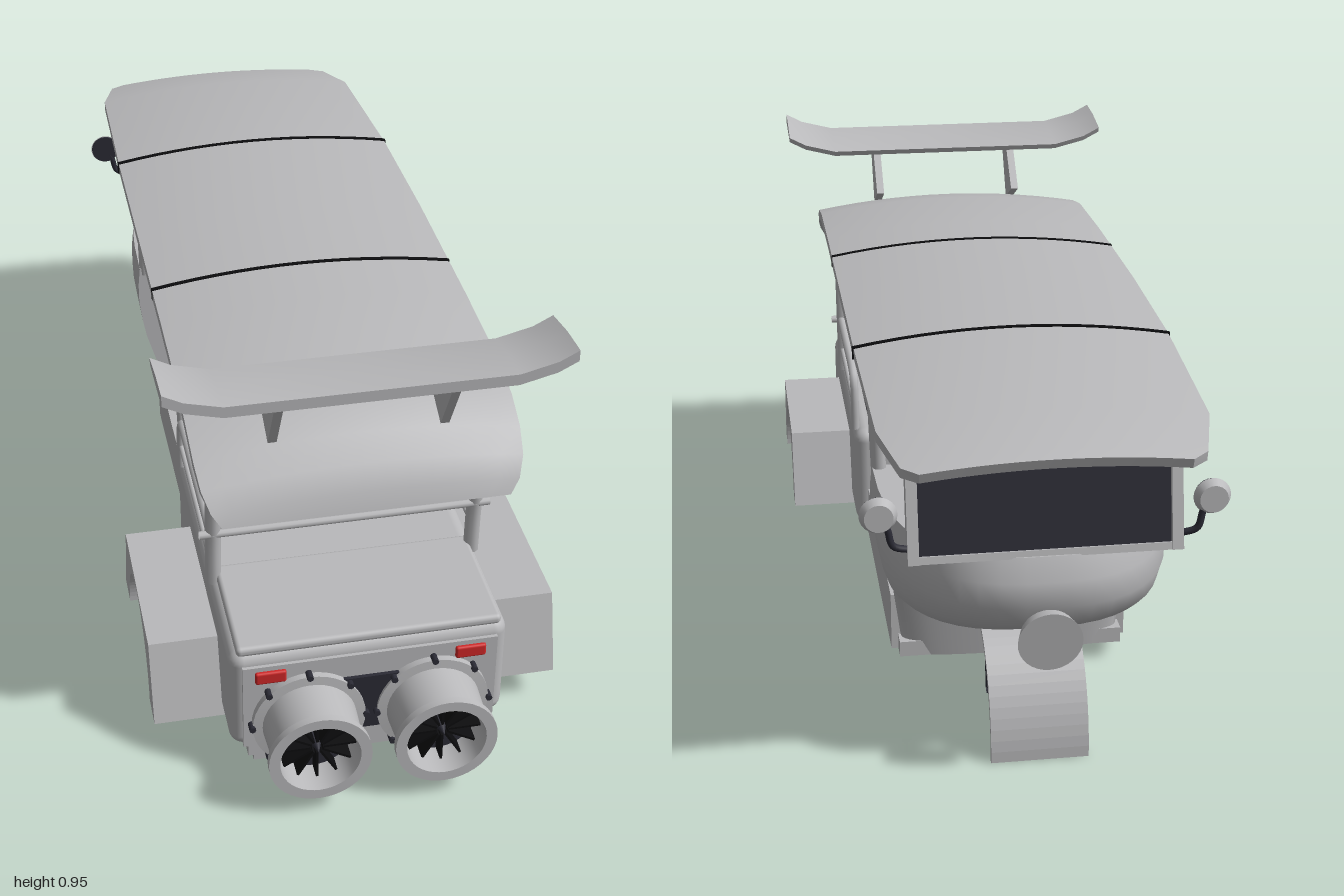
import * as THREE from 'three';
import { toCreasedNormals } from 'three/addons/utils/BufferGeometryUtils.js';
import { RoundedBoxGeometry } from 'three/addons/geometries/RoundedBoxGeometry.js';

const mat = (name, color, side = THREE.DoubleSide) => {
  const m = new THREE.MeshStandardMaterial({ color, side });
  m.name = name;
  return m;
};

// Skin closed rings of equal length and cap both ends
function loft(rings, crease = 0.6) {
  const n = rings[0].length, pos = rings.flat(2), idx = [];
  for (let i = 0; i < rings.length - 1; i++) {
    for (let j = 0; j < n; j++) {
      const a = i * n + j, b = i * n + (j + 1) % n;
      idx.push(a, a + n, b, b, a + n, b + n);
    }
  }
  // caps pair opposite points of the ring
  const cap = (o, flip) => {
    for (let j = 0; j < n / 2 - 1; j++) {
      const a = o + j, b = o + j + 1, c = o + n - 2 - j, d = o + n - 1 - j;
      if (flip) idx.push(a, c, b, a, d, c);
      else idx.push(a, b, c, a, c, d);
    }
  };
  cap(0, false);
  cap((rings.length - 1) * n, true);
  const g = new THREE.BufferGeometry();
  g.setAttribute('position', new THREE.Float32BufferAttribute(pos, 3));
  g.setIndex(idx);
  return toCreasedNormals(g, crease);
}

export function createModel() {
  const root = new THREE.Group();
  root.name = 'jetRickshaw';
  const grey = mat('greyPaint', 0xb9b9bb), dark = mat('darkTrim', 0x2b2b35);
  const black = mat('blackSeam', 0x0c0c0e), red = mat('redLamp', 0xd02828);

  const add = (name, geo, m = grey, x = 0, y = 0, z = 0) => {
    const mesh = new THREE.Mesh(geo, m);
    mesh.name = name;
    mesh.position.set(x, y, z);
    root.add(mesh);
    return mesh;
  };
  // Box given by its min and max on each axis
  const box = (name, [x0, x1], [y0, y1], [z0, z1], m = grey, r = 0) => add(name,
    r ? new RoundedBoxGeometry(x1 - x0, y1 - y0, z1 - z0, 3, r)
      : new THREE.BoxGeometry(x1 - x0, y1 - y0, z1 - z0),
    m, (x0 + x1) / 2, (y0 + y1) / 2, (z0 + z1) / 2);
  const tube = (name, pts, r, m = grey) => add(name, new THREE.TubeGeometry(
    new THREE.CatmullRomCurve3(pts.map(p => new THREE.Vector3(...p)), false, 'centripetal'), 16, r, 10), m);
  // Side outline in (z, y), extruded across x
  const sidePlate = (name, shape, x0, x1) => {
    const g = new THREE.ExtrudeGeometry(shape, { depth: x1 - x0, bevelEnabled: false, curveSegments: 20 });
    g.rotateY(-Math.PI / 2);
    return add(name, g, grey, x1, 0, 0);
  };

  // Roof: arched sections along a path that rolls down at the rear
  const roofRing = (z, y, w, drop, nz = 0, ny = 1, t = 0.02) => {
    const top = [], bottom = [];
    for (let i = 0; i <= 14; i++) {
      const u = i / 7 - 1, h = y - drop * u * u;
      top.push([u * w, h, z]);
      bottom.unshift([u * w, h - ny * t, z - nz * t]);
    }
    return [...top, ...bottom];
  };
  const path = [[-1, 0.733, 0.255, 0.015], [-0.975, 0.742, 0.287, 0.02], [-0.85, 0.771, 0.32, 0.027],
    [-0.45, 0.797, 0.33, 0.03], [-0.1, 0.803, 0.332, 0.03], [0.3, 0.8, 0.332, 0.03], [0.55, 0.791, 0.332, 0.03],
    [0.65, 0.772, 0.332, 0.03], [0.72, 0.742, 0.33, 0.03], [0.77, 0.7, 0.324, 0.022], [0.8, 0.655, 0.31, 0.012],
    [0.813, 0.615, 0.29, 0]];
  add('roof', loft(path.map((p, i) => {
    const a = path[Math.max(i - 1, 0)], b = path[Math.min(i + 1, path.length - 1)];
    const dz = b[0] - a[0], dy = b[1] - a[1], l = Math.hypot(dz, dy);
    return roofRing(...p, -dy / l, dz / l, 0.022);
  })));
  for (const [z, y] of [[-0.455, 0.797], [0.155, 0.801]]) {
    add('roofSeam', loft([z - 0.005, z + 0.005].map(s => roofRing(s, y + 0.002, 0.333, 0.03, 0, 1, 0.026))), black);
  }

  // Rear wing with upturned tips
  const wing = [[-0.4, 0.04], [-0.36, 0.019], [-0.285, 0], [0, 0], [0.285, 0], [0.36, 0.019], [0.4, 0.04]];
  add('rearWing', loft(wing.map(([x, h]) => [
    [x, 0.912 + h, 0.83], [x, 0.906 + h, 0.75], [x, 0.89 + h, 0.665],
    [x, 0.878 + h, 0.67], [x, 0.882 + h, 0.75], [x, 0.888 + h, 0.83]]), 0.4));
  for (const s of [-1, 1]) {
    sidePlate('wingStrut', new THREE.Shape([[0.805, 0.89], [0.73, 0.885], [0.63, 0.785], [0.72, 0.74]]
      .map(p => new THREE.Vector2(...p))), s * 0.174 - 0.009, s * 0.174 + 0.009);
  }

  // Rear body, boot lid and back panels
  box('rearBody', [-0.29, 0.29], [0.08, 0.328], [0.145, 0.865], grey, 0.03);
  box('bootLid', [-0.275, 0.275], [0.32, 0.343], [0.585, 0.86], grey, 0.01);
  box('backPanel', [-0.265, 0.265], [0.09, 0.3], [0.8, 0.872]);
  box('backLowerPanel', [-0.255, 0.255], [0.06, 0.17], [0.8, 0.868]);
  box('backSkirt', [-0.243, 0.243], [0.042, 0.1], [0.82, 0.864]);
  box('engineBlock', [-0.07, 0.07], [0.108, 0.245], [0.83, 0.88], dark);

  // Floor with raised sills
  box('floor', [-0.245, 0.245], [0.045, 0.08], [-0.46, 0.18]);
  for (const s of [-1, 1]) box('sill', [s * 0.248 - 0.012, s * 0.248 + 0.012], [0.045, 0.176], [-0.42, 0.18]);

  // Front cowl: stacked half-round outlines (height, front z, half width)
  const cowl = [[0.045, -0.47, 0.235], [0.195, -0.49, 0.255], [0.21, -0.55, 0.262], [0.245, -0.69, 0.272],
    [0.29, -0.82, 0.285], [0.335, -0.89, 0.293], [0.39, -0.928, 0.3], [0.44, -0.92, 0.3], [0.487, -0.9, 0.295]];
  add('frontCowl', loft(cowl.map(([y, zf, w]) => Array.from({ length: 24 }, (_, i) => {
    const a = Math.PI * i / 23, c = Math.cos(a);
    return [Math.sign(c) * Math.abs(c) ** 0.75 * w, y, -0.42 + (zf + 0.42) * Math.abs(Math.sin(a)) ** 0.7];
  })), 0.9));
  const lamp = add('headlight', new THREE.CylinderGeometry(0.064, 0.055, 0.03, 32), grey, 0, 0.33, -0.935);
  lamp.rotation.x = -Math.PI / 2 - 0.1;

  // Windscreen
  const screen = new THREE.Group();
  screen.name = 'windscreen';
  screen.position.set(0, 0.605, -0.862);
  screen.rotation.x = 0.2;
  const part = (name, w, h, d, m, x, y) => {
    const p = new THREE.Mesh(new THREE.BoxGeometry(w, h, d), m);
    p.name = name;
    p.position.set(x, y, 0);
    screen.add(p);
  };
  part('glass', 0.5, 0.23, 0.008, dark, 0, 0);
  for (const s of [-1, 1]) {
    part('screenPost', 0.022, 0.25, 0.03, grey, s * 0.257, 0);
    part('screenRail', 0.5, 0.015, 0.02, grey, 0, s * 0.118);
  }
  root.add(screen);
  tube('handlebar', [[-0.2, 0.5, -0.6], [0, 0.49, -0.64], [0.2, 0.5, -0.6]], 0.007, dark);

  // Front mudguard and fork
  const guard = new THREE.Shape(), arc = (k, a) => [-0.66 - (0.19 + k) * Math.cos(a), 0.005 + (0.235 + k) * Math.sin(a)];
  for (let i = 0; i <= 14; i++) guard[i ? 'lineTo' : 'moveTo'](...arc(0, i * 0.1));
  for (let i = 14; i >= 0; i--) guard.lineTo(...arc(-0.01, i * 0.1));
  sidePlate('frontMudguard', guard, -0.1, 0.1);
  for (const s of [-1, 1]) tube('forkLeg', [[s * 0.07, 0.24, -0.615], [s * 0.07, 0.15, -0.627], [s * 0.07, 0.06, -0.64]], 0.012, dark);
  tube('forkAxle', [[-0.08, 0.062, -0.64], [0, 0.062, -0.64], [0.08, 0.062, -0.64]], 0.016, dark);

  for (const s of [-1, 1]) {
    // Rear mudguard with wheel arch
    const sh = new THREE.Shape([[0.76, 0.08], [0.71, 0.255], [0.335, 0.255], [0.28, 0.08], [0.355, 0.08]]
      .map(p => new THREE.Vector2(...p)));
    sh.absarc(0.52, 0.08, 0.165, Math.PI, 0, true);
    sidePlate('rearMudguard', sh, s > 0 ? 0.28 : -0.435, s > 0 ? 0.435 : -0.28);

    // Roof pillars
    tube('rearPillar', [[s * 0.28, 0.32, 0.605], [s * 0.28, 0.45, 0.612], [s * 0.28, 0.6, 0.635], [s * 0.28, 0.7, 0.68]], 0.017);
    tube('middlePillar', [[s * 0.25, 0.15, -0.02], [s * 0.26, 0.45, -0.02], [s * 0.27, 0.77, -0.02]], 0.011);
    tube('frontPillar', [[s * 0.28, 0.47, -0.43], [s * 0.282, 0.62, -0.43], [s * 0.284, 0.77, -0.43]], 0.015);

    // Arm rails
    tube('armRail', [[s * 0.285, 0.455, 0.62], [s * 0.285, 0.455, 0.4], [s * 0.285, 0.455, 0.235],
      [s * 0.285, 0.44, 0.2], [s * 0.285, 0.4, 0.19], [s * 0.285, 0.32, 0.19]], 0.01);
    tube('lowerRail', [[s * 0.285, 0.375, 0.6], [s * 0.285, 0.375, 0.4], [s * 0.285, 0.375, 0.19]], 0.006);

    // Mirror: dark glass facing the driver, grey back
    tube('mirrorStem', [[s * 0.26, 0.51, -0.88], [s * 0.295, 0.525, -0.89], [s * 0.305, 0.56, -0.89], [s * 0.32, 0.59, -0.892]], 0.007, dark);
    const shell = add('mirrorShell', new THREE.CylinderGeometry(0.037, 0.028, 0.018, 24), grey, s * 0.322, 0.59, -0.898);
    const glass = add('mirrorGlass', new THREE.CylinderGeometry(0.035, 0.035, 0.006, 24), dark, s * 0.322, 0.59, -0.887);
    shell.rotation.x = glass.rotation.x = Math.PI / 2;

    box('tailLamp', [s * 0.208 - 0.032, s * 0.208 + 0.032], [0.26, 0.289], [0.868, 0.88], red, 0.005);

    // Jet engine: nozzle, casing, fan and bolts
    const jx = s * 0.13, jy = 0.152;
    const profile = [[0.1, 0.868], [0.118, 0.87], [0.118, 0.886], [0.098, 0.888], [0.094, 0.98], [0.106, 0.984],
      [0.106, 1], [0.083, 1], [0.081, 0.92]].map(p => new THREE.Vector2(...p));
    const nozzle = toCreasedNormals(new THREE.LatheGeometry(profile, 40), 0.5).rotateX(Math.PI / 2);
    add('jetNozzle', nozzle, grey, jx, jy);
    add('jetCasing', new THREE.CylinderGeometry(0.104, 0.09, 0.2, 32).rotateX(Math.PI / 2), dark, jx, jy, 0.77);
    add('jetFanDisc', new THREE.CylinderGeometry(0.083, 0.083, 0.01, 32).rotateX(Math.PI / 2), dark, jx, jy, 0.925);
    add('jetHub', new THREE.ConeGeometry(0.018, 0.05, 16).rotateX(Math.PI / 2), dark, jx, jy, 0.955);
    for (let i = 0; i < 12; i++) {
      const a = i * Math.PI / 6;
      const blade = add('jetBlade', new THREE.BoxGeometry(0.066, 0.005, 0.035), black,
        jx + Math.cos(a) * 0.047, jy + Math.sin(a) * 0.047, 0.947);
      blade.rotation.z = a;
    }
    for (let i = 0; i < 8; i++) {
      const a = i * Math.PI / 4;
      for (const [r, z] of [[0.119, 0.882], [0.106, 0.75]]) {
        add('jetBolt', new THREE.CylinderGeometry(0.007, 0.007, 0.022, 8).rotateX(Math.PI / 2), dark,
          jx + Math.cos(a) * r, jy + Math.sin(a) * r, z);
      }
    }
  }
  tube('rearCrossbar', [[-0.31, 0.453, 0.62], [0, 0.453, 0.62], [0.31, 0.453, 0.62]], 0.009);

  // Passenger bench
  box('benchCushion', [-0.255, 0.255], [0.345, 0.392], [0.205, 0.41], dark, 0.015);
  box('benchBase', [-0.25, 0.25], [0.31, 0.35], [0.2, 0.42]);
  box('benchBoard', [-0.25, 0.25], [0.365, 0.562], [0.505, 0.53]).rotation.x = 0.08;
  for (const x of [-0.17, 0, 0.17]) {
    box('benchBack', [x - 0.083, x + 0.083], [0.39, 0.605], [0.45, 0.495], dark, 0.015).rotation.x = 0.12;
  }

  // Driver seat
  box('driverSeatPlinth', [-0.13, 0.13], [0.07, 0.19], [-0.36, -0.15]);
  box('driverSeatBase', [-0.11, 0.11], [0.18, 0.245], [-0.345, -0.17]);
  box('driverCushion', [-0.12, 0.12], [0.245, 0.288], [-0.36, -0.17], dark, 0.012);
  box('driverBack', [-0.12, 0.12], [0.29, 0.47], [-0.18, -0.14], dark, 0.012).rotation.x = -0.12;

  return root;
}
